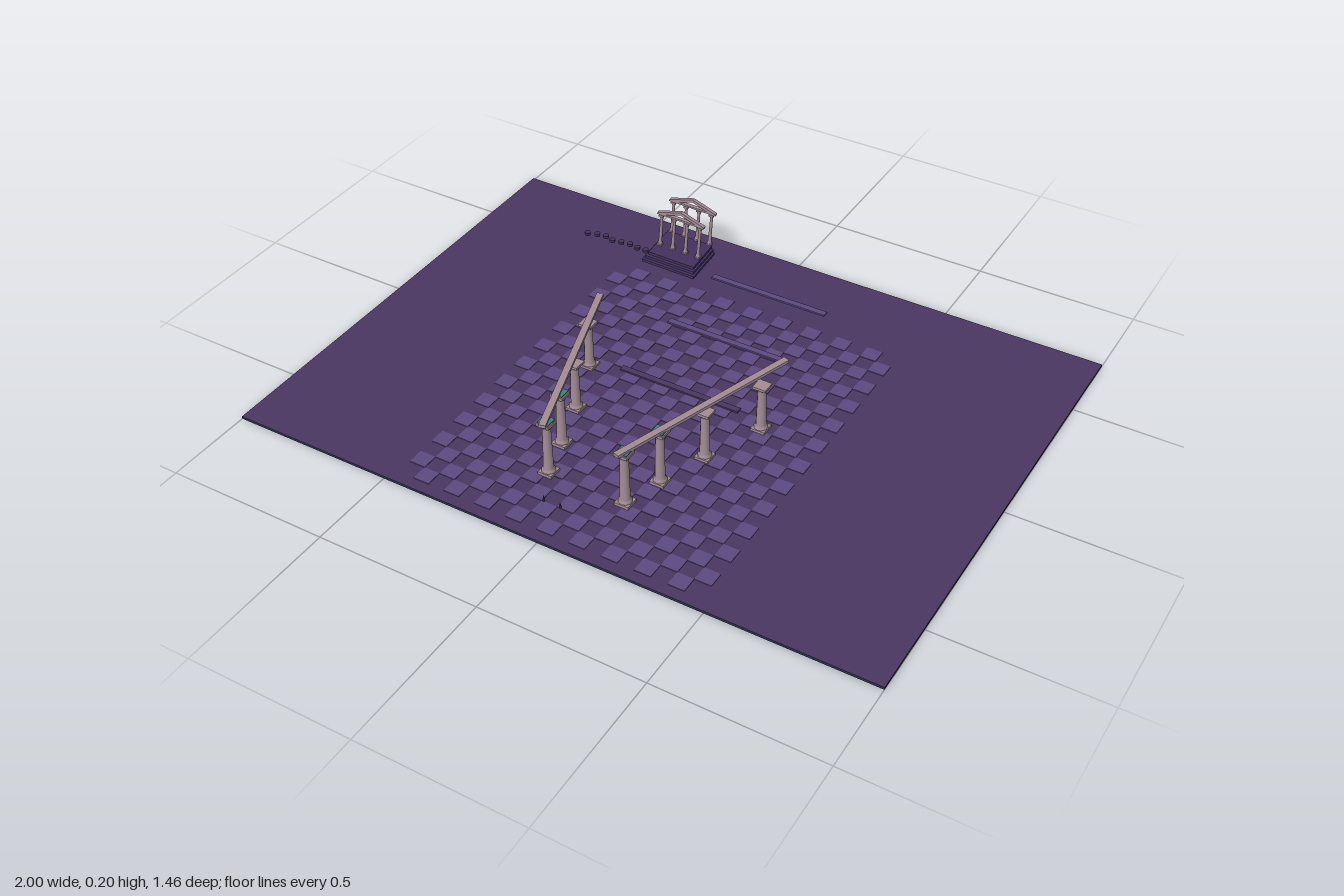
import * as THREE from 'three';
import { mergeGeometries } from 'three/addons/utils/BufferGeometryUtils.js';

const paint = (name, color) => {
  const m = new THREE.MeshStandardMaterial({ color });
  m.name = name;
  return m;
};

export function createModel() {
  const ground = paint('ground purple', 0x4a3763);
  const tile = paint('tile lilac', 0x5f4a80);
  const rim = paint('rim navy', 0x2a2f4c);
  const stone = paint('warm stone', 0xa38d96);
  const teal = paint('teal', 0x3f8088);
  const step = paint('step purple', 0x453260);
  const dark = paint('dark', 0x3a3440);

  const model = new THREE.Group();
  const add = (parent, name, geo, mat, x = 0, y = 0, z = 0) => {
    const m = new THREE.Mesh(geo, mat);
    m.name = name;
    m.position.set(x, y, z);
    parent.add(m);
    return m;
  };
  const box = (w, h, d) => new THREE.BoxGeometry(w, h, d);

  // Wide ground slab with a navy rim
  const G = 0.008;
  add(model, 'ground', box(2, G, 1.46), [rim, rim, ground, ground, rim, rim], 0, G / 2, 0);

  // Checkerboard: every other tile, thin plates on the ground
  const tiles = [];
  for (let i = 0; i < 19; i++) {
    for (let j = 0; j < 23; j++) {
      if ((i + j) % 2 === 0) continue;
      tiles.push(box(0.05, 0.002, 0.05).translate(-0.45 + i * 0.05, G + 0.001, -0.43 + j * 0.05));
    }
  }
  add(model, 'checkerTiles', mergeGeometries(tiles), tile);

  // Three low bars across the floor
  [[0, ground], [-0.268, tile], [-0.535, tile]].forEach(([z, mat]) =>
    add(model, 'floorBar', box(0.39, 0.005, 0.02), mat, 0, 0.0125, z));

  // Column: square plinth, turned shaft, square capital
  const column = (parent, x, z, y, h, r, facets = 10) => {
    const g = new THREE.Group();
    g.name = 'column';
    g.position.set(x, y, z);
    parent.add(g);
    const p = h * 0.05;
    add(g, 'plinth', box(r * 3, p, r * 3), stone, 0, p / 2, 0);
    const profile = [[1.4, p], [1.4, p * 1.7], [1.05, p * 2.4], [0.86, h - p * 2.6],
      [1.2, h - p * 1.6], [1.25, h - p]].map(([k, v]) => new THREE.Vector2(k * r, v));
    add(g, 'shaft', new THREE.LatheGeometry(profile, facets), stone);
    add(g, 'capital', box(r * 2.8, p, r * 2.8), stone, 0, h - p / 2, 0);
    return g;
  };

  // Two colonnades opening towards the back, each under a long beam
  for (const s of [-1, 1]) {
    const row = new THREE.Group();
    row.name = s < 0 ? 'rightColonnade' : 'leftColonnade';
    model.add(row);
    const angle = -s * Math.atan2(0.19, 0.585);
    [[0.122, 0.49, 0.178], [0.158, 0.37, 0.178], [0.21, 0.22, 0.162], [0.284, 0.035, 0.155]]
      .forEach(([x, z, h], i) => {
        column(row, s * x, z, 0.01, h, 0.0145);
        if (i < 2) add(row, 'tealCap', box(0.034, 0.004, 0.034), teal, s * x, 0.19, z);
      });
    const beam = add(row, 'beam', box(0.02, 0.01, 0.615), stone, s * 0.21, 0.194, 0.2275);
    beam.rotation.y = angle;
  }

  // Small tilted temple at the back
  const temple = new THREE.Group();
  temple.name = 'temple';
  temple.position.set(-0.33, 0.026, -0.55);
  temple.rotation.set(0, 0.07, -0.07);
  model.add(temple);
  [[0.18, 0.15, 0], [0.168, 0.142, -0.006], [0.156, 0.134, -0.012]].forEach(([w, d, z], i) =>
    add(temple, 'templeStep', box(w, 0.009, d), step, 0, 0.0045 + i * 0.0095, z));

  // Open triangular gable frame
  const gable = new THREE.Shape([[-0.08, 0], [0.08, 0], [0.08, 0.006], [0, 0.032], [-0.08, 0.006]]
    .map(([x, y]) => new THREE.Vector2(x, y)));
  gable.holes.push(new THREE.Path([[-0.05, 0.006], [0, 0.023], [0.05, 0.006]]
    .map(([x, y]) => new THREE.Vector2(x, y))));
  const gableGeo = new THREE.ExtrudeGeometry(gable, { depth: 0.012, bevelEnabled: false })
    .translate(0, 0, -0.006);
  for (const z of [0, -0.082]) {
    for (let i = 0; i < 4; i++) column(temple, -0.066 + i * 0.044, z, 0.027, 0.115, 0.0055, 8);
    add(temple, 'gable', gableGeo, stone, 0, 0.142, z);
  }

  // Stepping stones trailing away from the temple
  [0.127, 0.125, 0.124, 0.126, 0.125, 0.124, 0.125, 0.125, 0.122].forEach((v, i) =>
    add(model, 'steppingStone', new THREE.CylinderGeometry(0.01, 0.009, 0.01, 8), step,
      -0.648 + i * 0.03, 0.028, -0.53 + (v - 0.125) * 5));

  // Two tiny floating slivers near the front
  for (const [x, h] of [[-0.03, 0.022], [0.022, 0.018]]) {
    add(model, 'floatingSliver', new THREE.ConeGeometry(0.004, h, 6), dark, x, 0.08, 0.647);
  }
  return model;
}
